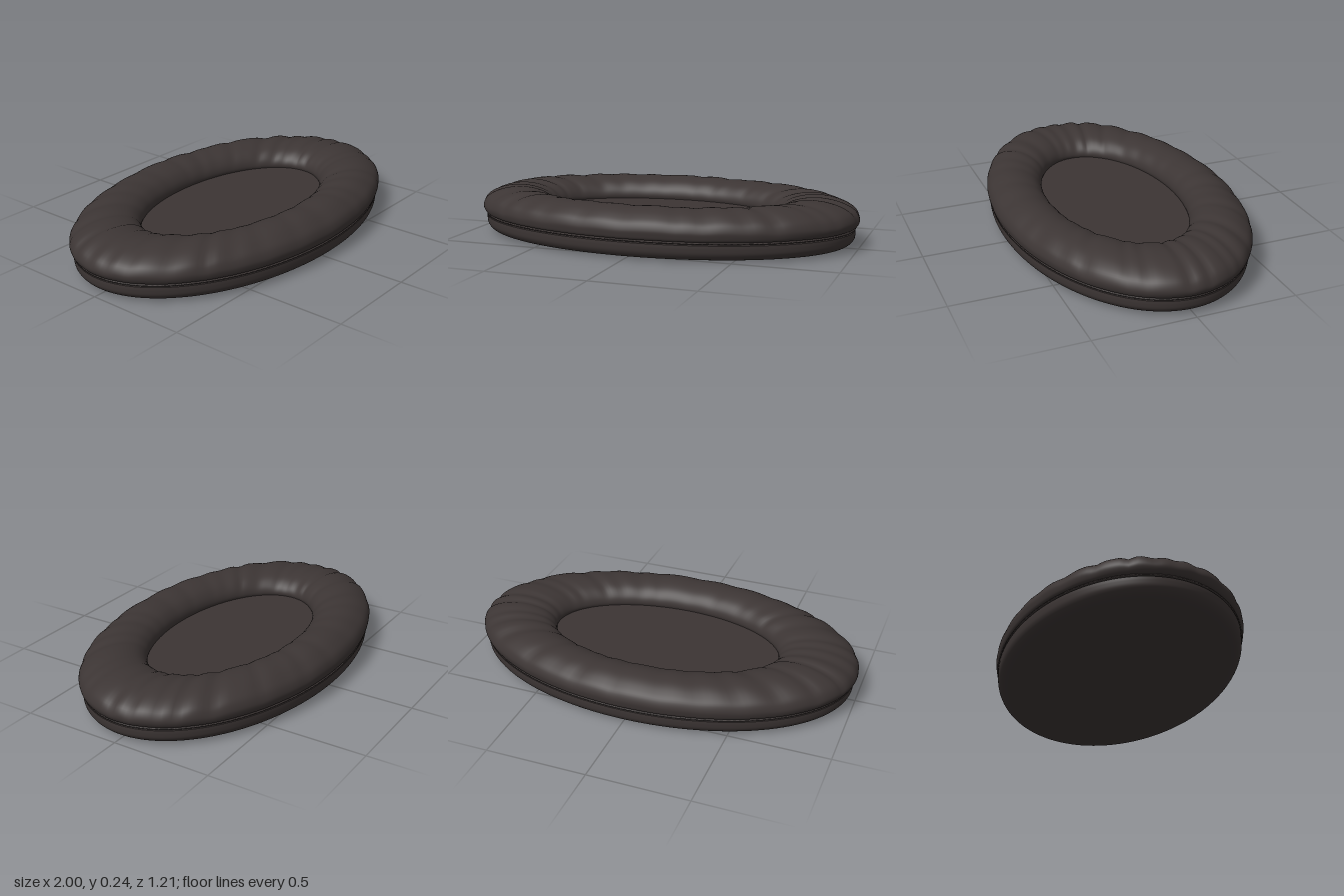
import * as THREE from 'three';

const SEGMENTS = 192;

// Smooth skin over elliptical rings; ringAt(row, angle) gives a point.
// Rows run so that the outside lies on the row-direction x angle-direction side.
function loft(rows, ringAt) {
  const positions = [], index = [];
  for (let r = 0; r < rows; r++) {
    for (let s = 0; s < SEGMENTS; s++) {
      positions.push(...ringAt(r, (s / SEGMENTS) * Math.PI * 2));
    }
  }
  for (let r = 0; r < rows - 1; r++) {
    for (let s = 0; s < SEGMENTS; s++) {
      const n = (s + 1) % SEGMENTS;
      const a = r * SEGMENTS + s, b = a + SEGMENTS;
      const c = r * SEGMENTS + n, d = c + SEGMENTS;
      index.push(a, b, c, b, d, c);
    }
  }
  const geometry = new THREE.BufferGeometry();
  geometry.setAttribute('position', new THREE.Float32BufferAttribute(positions, 3));
  geometry.setIndex(index);
  geometry.computeVertexNormals();
  return geometry;
}

// Profile rows are [x radius, z radius, height], smoothed by a curve
function smoothProfile(points, count) {
  const curve = new THREE.CatmullRomCurve3(points.map(p => new THREE.Vector3(...p)), false, 'centripetal');
  return curve.getPoints(count - 1);
}

const ellipsePoint = (p, a) => [p.x * Math.cos(a), p.z, p.y * Math.sin(a)];

function seeded(seed) {
  return () => {
    seed = (seed * 16807) % 2147483647;
    return seed / 2147483647;
  };
}

// Irregular radial creases, deeper toward the two long ends
function makeCreases() {
  const random = seeded(71);
  const creases = [];
  const count = 30;
  for (let i = 0; i < count; i++) {
    const angle = ((i + 0.2 + random() * 0.6) / count) * Math.PI * 2;
    creases.push({
      angle,
      width: 0.035 + random() * 0.04,
      depth: (0.005 + random() * 0.007) * (0.6 + 0.5 * Math.abs(Math.cos(angle))),
      skew: (random() - 0.5) * 0.12,
    });
  }
  return (angle, t) => creases.reduce((sum, c) => {
    let d = angle - c.angle - c.skew * (t - 0.5);
    d = Math.atan2(Math.sin(d), Math.cos(d)) / c.width;
    return sum + c.depth * Math.exp(-d * d);
  }, 0);
}

export function createModel() {
  const group = new THREE.Group();
  const fabric = new THREE.MeshStandardMaterial({ color: 0x3c3534 });
  fabric.name = 'charcoal fabric';

  const add = (name, geometry) => {
    const mesh = new THREE.Mesh(geometry, fabric);
    mesh.name = name;
    group.add(mesh);
  };

  // Base shell: flat underside, rounded lower edge, upright wall
  const base = smoothProfile([
    [0.001, 0.001, 0], [0.5, 0.28, 0], [0.82, 0.47, 0], [0.89, 0.52, 0.003],
    [0.95, 0.572, 0.016], [0.974, 0.59, 0.04], [0.979, 0.594, 0.065], [0.979, 0.594, 0.084],
  ], 48);
  add('base', loft(base.length, (r, a) => ellipsePoint(base[r], a)));

  // Recessed seam and lip between base and cushion
  const seam = [
    [0.979, 0.594, 0.084], [0.969, 0.584, 0.086], [0.969, 0.584, 0.089],
    [0.98, 0.596, 0.09], [0.98, 0.596, 0.096], [0.968, 0.582, 0.098], [0.95, 0.565, 0.1],
  ].map(p => new THREE.Vector3(...p));
  add('seam', loft(seam.length, (r, a) => ellipsePoint(seam[r], a)));

  // Padded ring, wrinkled over its top and inner side
  const ring = smoothProfile([
    [0.955, 0.568, 0.097], [0.984, 0.597, 0.103], [0.998, 0.604, 0.125], [0.999, 0.605, 0.145],
    [0.982, 0.592, 0.178], [0.94, 0.56, 0.207], [0.87, 0.515, 0.23], [0.79, 0.463, 0.238],
    [0.71, 0.41, 0.229], [0.645, 0.365, 0.205], [0.607, 0.337, 0.17], [0.596, 0.33, 0.14],
    [0.602, 0.336, 0.118],
  ], 52);
  const crease = makeCreases();
  add('paddedRing', loft(ring.length, (r, a) => {
    const t = r / (ring.length - 1);
    const p = ring[r];
    const dip = crease(a, t) * Math.pow(Math.sin(Math.PI * t), 1.5);
    // Creases sink toward the core of the padding
    const inward = (p.x - 0.8) / 0.2;
    const q = new THREE.Vector3(p.x - dip * inward * 0.5, p.y - dip * inward * 0.4, p.z - dip);
    return ellipsePoint(q, a);
  }));

  // Flat centre panel inside the ring
  const panel = [[0.64, 0.37, 0.125], [0.3, 0.17, 0.125], [0.001, 0.001, 0.125]]
    .map(p => new THREE.Vector3(...p));
  add('centrePanel', loft(panel.length, (r, a) => ellipsePoint(panel[r], a)));

  return group;
}
